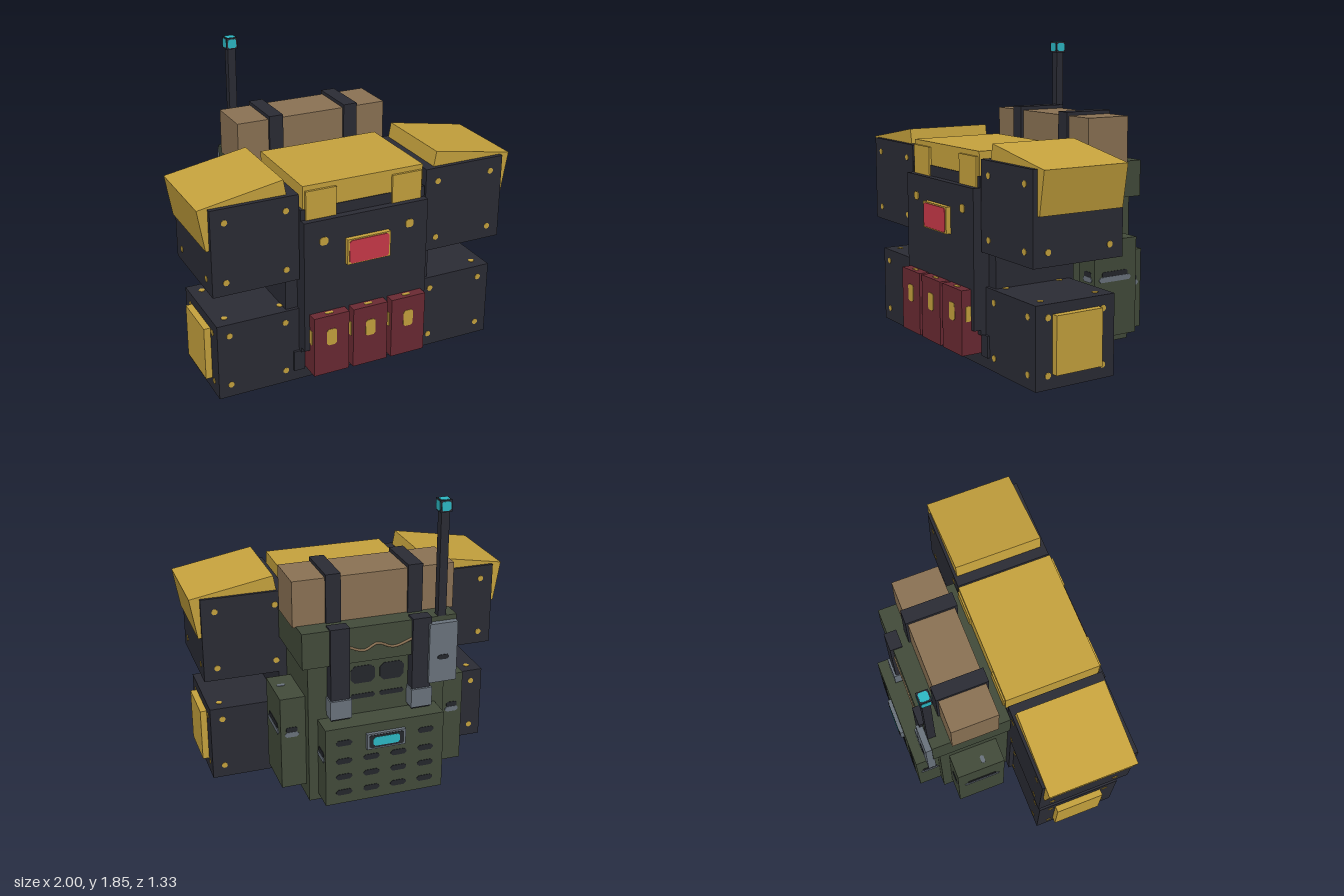
import * as THREE from 'three';

const paint = (name, color) => Object.assign(new THREE.MeshStandardMaterial({ color }), { name });

export function createModel() {
  const model = new THREE.Group();
  model.name = 'armourWithBackpack';
  const dark = paint('charcoal', 0x2b2c35), yellow = paint('mustard', 0xc8a43e);
  const green = paint('olive', 0x434c3b), brown = paint('canvas', 0x8c7355);
  const maroon = paint('maroon', 0x6b2a33), red = paint('red', 0xcb3a4a);
  const grey = paint('steel', 0x6b747e), teal = paint('teal', 0x2dbac6);
  const black = paint('slotBlack', 0x25272c);

  const add = (name, geo, mat) => {
    const m = new THREE.Mesh(geo, mat);
    m.name = name;
    model.add(m);
    return m;
  };
  // Box from its limits
  const box = (name, mat, x0, x1, y0, y1, z0, z1) => {
    const g = new THREE.BoxGeometry(Math.abs(x1 - x0), y1 - y0, z1 - z0);
    g.translate((x0 + x1) / 2, (y0 + y1) / 2, (z0 + z1) / 2);
    return add(name, g, mat);
  };
  // Thin plate, cut from a chamfered outline, lying on a face with the given normal
  const plate = (name, mat, w, h, cut, pos, normal, lift = 0.005) => {
    const a = w / 2, b = h / 2;
    const s = new THREE.Shape([[-a + cut, -b], [a - cut, -b], [a, -b + cut], [a, b - cut],
      [a - cut, b], [-a + cut, b], [-a, b - cut], [-a, -b + cut]].map(p => new THREE.Vector2(...p)));
    const m = add(name, new THREE.ExtrudeGeometry(s, { depth: lift, bevelEnabled: false }), mat);
    m.position.set(...pos);
    m.lookAt(pos[0] + normal[0], pos[1] + normal[1], pos[2] + normal[2]);
    return m;
  };
  const rivet = (pos, normal) => plate('rivet', yellow, 0.036, 0.036, 0.011, pos, normal, 0.003);
  // Vent slot with a dark upper half and a steel lower half
  const vent = (w, [x, y, z], n) => {
    plate('ventShadow', black, w * 0.8, 0.034, 0.008, [x, y + 0.016, z], n, 0.003);
    plate('ventLip', grey, w, 0.032, 0.012, [x, y - 0.014, z], n);
  };

  // Torso
  box('torsoCore', dark, -0.475, 0.475, 0.04, 1.1, -0.04, 0.5);
  box('chest', dark, -0.4, 0.4, 0.2, 1.12, -0.04, 0.555);
  box('chestPlate', dark, -0.4, 0.4, 0.23, 1.055, 0.555, 0.6);
  box('collarPlate', yellow, -0.385, 0.385, 1.12, 1.26, -0.045, 0.55);
  box('chestScreenFrame', yellow, -0.14, 0.14, 0.755, 0.915, 0.6, 0.63);
  plate('chestScreen', red, 0.255, 0.145, 0.012, [0, 0.835, 0.63], [0, 0, 1]);

  // Front pouches with painted clasps
  for (const x of [-0.255, 0, 0.255]) {
    box('pouch', maroon, x - 0.113, x + 0.113, 0.085, 0.47, 0.52, 0.662);
    plate('pouchClasp', yellow, 0.064, 0.105, 0.012, [x, 0.328, 0.662], [0, 0, 1], 0.003);
    plate('pouchTopMark', yellow, 0.05, 0.022, 0.005, [x, 0.47, 0.627], [0, 1, 0], 0.003);
    for (const s of [-1, 1])
      plate('pouchSideMark', yellow, 0.035, 0.09, 0.005, [x + s * 0.113, 0.328, 0.62], [s, 0, 0], 0.003);
  }

  for (const s of [-1, 1]) {
    box('collarFrontTab', yellow, s * 0.18, s * 0.372, 1.055, 1.23, 0.5, 0.565);
    box('collarRearTab', yellow, s * 0.18, s * 0.372, 1.055, 1.23, -0.055, 0);
    plate('chestStud', yellow, 0.052, 0.05, 0.012, [s * 0.278, 0.925, 0.6], [0, 0, 1]);
    box('hipBracket', dark, s * 0.37, s * 0.438, 0.07, 0.2, -0.04, 0.535);

    // Upper and lower side blocks, riveted at the corners
    box('armBlock', dark, s * 0.41, s * 0.937, 0.69, 1.22, -0.04, 0.555);
    box('legBlock', dark, 0, s * 0.91, 0, 0.48, -0.01, 0.52);
    for (const x of [0.49, 0.855]) {
      for (const y of [0.77, 1.135]) {
        rivet([s * x, y, 0.555], [0, 0, 1]);
        rivet([s * x, y, -0.04], [0, 0, -1]);
      }
      for (const z of [0.05, 0.46]) rivet([s * x, 0.69, z], [0, -1, 0]);
    }
    for (const z of [0.05, 0.46]) rivet([s * 0.937, 0.77, z], [s, 0, 0]);
    for (const x of [0.487, 0.835]) {
      for (const y of [0.08, 0.405]) {
        rivet([s * x, y, 0.52], [0, 0, 1]);
        rivet([s * x, y, -0.01], [0, 0, -1]);
      }
      for (const z of [0.07, 0.44]) {
        rivet([s * x, 0.48, z], [0, 1, 0]);
        rivet([s * x, 0, z], [0, -1, 0]).position.y = 0.003;
      }
    }
    for (const y of [0.08, 0.405]) for (const z of [0.07, 0.44]) rivet([s * 0.91, y, z], [s, 0, 0]);
    box('legSidePlate', yellow, s * 0.9, s * 0.95, 0.085, 0.42, 0.1, 0.41);

    // Sloped shoulder pad
    const pad = new THREE.Shape([[0.47, 1.2], [0.92, 1.2], [0.92, 0.97], [0.957, 0.97], [1, 1.222], [0.49, 1.312]]
      .map(([x, y]) => new THREE.Vector2(s * x, y)));
    add('shoulderPad', new THREE.ExtrudeGeometry(pad, { depth: 0.55, bevelEnabled: false }), yellow)
      .position.z = -0.022;

    // Backpack side pouch and its vents
    box('packSidePouch', green, s * 0.4, s * 0.577, 0.11, 0.7, -0.43, -0.12);
    vent(0.235, [s * 0.577, 0.477, -0.27], [s, 0, 0]);
    vent(0.085, [s * 0.51, 0.477, -0.43], [0, 0, -1]);
    vent(0.085, [s * 0.51, 0.477, -0.12], [0, 0, 1]);
    plate('pouchTopSlot', grey, 0.05, 0.025, 0.008, [s * 0.52, 0.7, -0.245], [0, 1, 0], 0.003);
    vent(0.12, [s * 0.368, 0.37, -0.555], [s, 0, 0]);

    // Straps over the bedroll and down the back
    box('bedrollStrap', dark, s * 0.205, s * 0.295, 1.14, 1.442, -0.436, -0.114);
    box('backStrap', dark, s * 0.192, s * 0.308, 0.58, 1.155, -0.56, -0.48);
    box('strapBuckle', grey, s * 0.185, s * 0.315, 0.592, 0.71, -0.574, -0.485);

    // Recessed patches on the pack's back
    plate('backPatch', black, 0.15, 0.11, 0.025, [s * 0.09, 0.82, -0.49], [0, 0, -1], 0.003);
    plate('lidShadow', black, 0.15, 0.03, 0.01, [s * 0.09, 0.68, -0.49], [0, 0, -1], 0.003);
  }

  // Backpack
  box('packBody', green, -0.425, 0.425, 0.025, 0.95, -0.49, -0.04);
  box('packLid', green, -0.47, 0.47, 0.925, 1.145, -0.54, -0.045);
  box('packBackPouch', green, -0.368, 0.368, 0.065, 0.567, -0.638, -0.48);
  box('bedroll', brown, -0.495, 0.49, 1.14, 1.42, -0.422, -0.13);
  const ropePath = new THREE.CatmullRomCurve3([[0.2, 1.03], [0.1, 0.995], [0.02, 1.03], [-0.08, 0.995], [-0.2, 1.03]]
    .map(([x, y]) => new THREE.Vector3(x, y, -0.54)));
  add('rope', new THREE.TubeGeometry(ropePath, 16, 0.009, 5), brown);

  // Vent slots on the back pouch, leaving room for the display
  [0.14, 0.245, 0.35, 0.47].forEach((y, row) => {
    for (const x of [-0.255, -0.085, 0.085, 0.255])
      if (row < 3 || Math.abs(x) > 0.2)
        plate('backSlot', black, 0.1, 0.036, 0.014, [x, y, -0.638], [0, 0, -1], 0.003);
  });
  box('displayFrame', grey, -0.12, 0.12, 0.41, 0.51, -0.66, -0.6);
  plate('displayBezel', black, 0.215, 0.082, 0.01, [0, 0.46, -0.66], [0, 0, -1], 0.003);
  plate('displayGlass', teal, 0.165, 0.056, 0.012, [0, 0.46, -0.662], [0, 0, -1], 0.003);

  // Radio and antenna with a glowing tip
  box('radio', grey, -0.465, -0.29, 0.74, 1.115, -0.578, -0.53);
  plate('radioSlot', black, 0.07, 0.03, 0.01, [-0.378, 0.9, -0.578], [0, 0, -1], 0.003);
  box('antennaMast', dark, -0.403, -0.353, 0.75, 1.79, -0.54, -0.49);
  const tip = [-0.378, 1.809, -0.515], r = 0.035;
  box('antennaTip', dark, tip[0] - r, tip[0] + r, tip[1] - r, tip[1] + r, tip[2] - r, tip[2] + r);
  for (const n of [[1, 0, 0], [-1, 0, 0], [0, 1, 0], [0, 0, 1], [0, 0, -1]])
    plate('antennaLight', teal, 0.054, 0.054, 0.008, tip.map((v, i) => v + n[i] * r), n, 0.002);

  return model;
}
